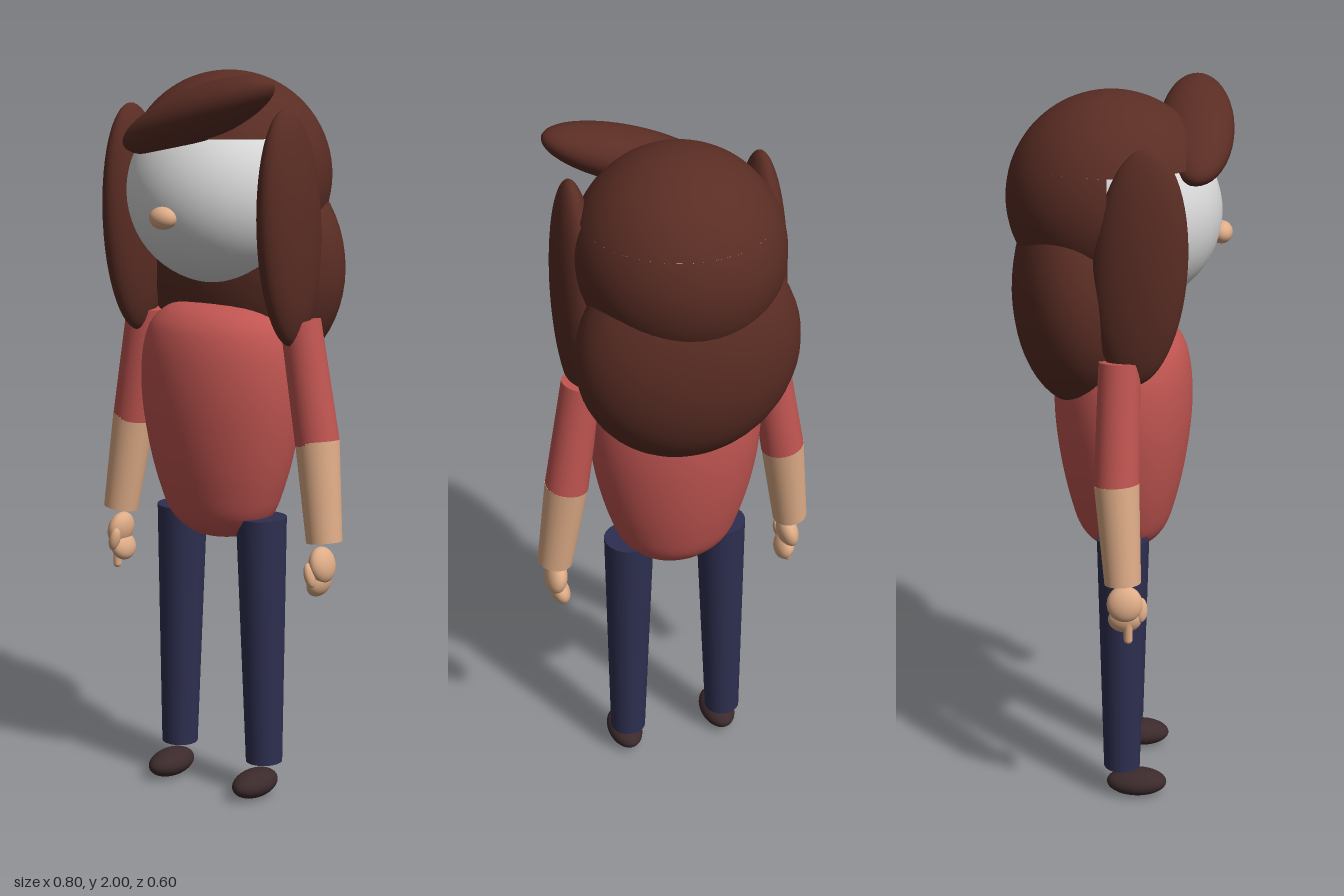
import * as THREE from 'three';

const mat = (name, color, side = THREE.FrontSide) => {
  const m = new THREE.MeshStandardMaterial({ color, side });
  m.name = name;
  return m;
};

export function createModel() {
  const root = new THREE.Group();
  root.name = 'figure';

  const hair = mat('brown hair', 0x5a2d24, THREE.DoubleSide);
  const face = mat('pale face', 0xd8d8d8);
  const skin = mat('skin', 0xdeac87);
  const shirt = mat('red shirt', 0xc05551);
  const jeans = mat('navy trousers', 0x2e2f50);
  const shoe = mat('dark shoes', 0x3c2a2c);

  const add = (name, geometry, material, pos = [0, 0, 0], rot = [0, 0, 0]) => {
    const mesh = new THREE.Mesh(geometry, material);
    mesh.name = name;
    mesh.position.set(...pos);
    mesh.rotation.set(...rot);
    root.add(mesh);
    return mesh;
  };
  const blob = (name, material, pos, radii, rot) =>
    add(name, new THREE.SphereGeometry(1, 40, 28).scale(...radii), material, pos, rot);

  // Tapered limb between two points
  const limb = (name, material, top, bottom, rTop, rBottom) => {
    const a = new THREE.Vector3(...top), b = new THREE.Vector3(...bottom);
    const axis = a.clone().sub(b);
    const mesh = add(name, new THREE.CylinderGeometry(rTop, rBottom, axis.length(), 32), material);
    mesh.position.copy(a).add(b).multiplyScalar(0.5);
    mesh.quaternion.setFromUnitVectors(new THREE.Vector3(0, 1, 0), axis.normalize());
    return mesh;
  };

  // Egg-shaped torso, shallower than wide
  const profile = new THREE.SplineCurve([
    [0, 0.722], [0.085, 0.735], [0.15, 0.785], [0.187, 0.87], [0.217, 0.98], [0.236, 1.1],
    [0.238, 1.2], [0.225, 1.28], [0.195, 1.335], [0.13, 1.372], [0, 1.385],
  ].map(([x, y]) => new THREE.Vector2(x, y))).getPoints(50);
  profile[0].x = profile[profile.length - 1].x = 0;
  add('torso', new THREE.LatheGeometry(profile, 48).scale(1, 1, 0.79), shirt, [0, 0, 0.013]);

  // Head and nose
  blob('face', face, [0, 1.68, 0.025], [0.25, 0.25, 0.25]);
  blob('nose', skin, [0, 1.625, 0.273], [0.04, 0.03, 0.03]);

  // Hair: dome cut level above the face, rear shell, and long back volume
  const cut = Math.acos(0.11 / 0.28);
  add('hairDome', new THREE.SphereGeometry(0.28, 48, 20, 0, Math.PI * 2, 0, cut), hair, [0, 1.72, -0.02]);
  add('hairRim', new THREE.RingGeometry(0.18, 0.2575, 48), hair, [0, 1.83, -0.02], [Math.PI / 2, 0, 0]);
  add('hairRear', new THREE.SphereGeometry(0.28, 32, 24, Math.PI, Math.PI, cut, Math.PI - cut),
    hair, [0, 1.72, -0.02]);
  blob('backHair', hair, [0, 1.47, -0.1], [0.305, 0.32, 0.187]);
  blob('fringe', hair, [0.06, 1.89, 0.203], [0.25, 0.07, 0.1], [0, 0, 0.35]);

  for (const s of [-1, 1]) {
    const side = s > 0 ? 'left' : 'right';

    blob(side + 'HairLock', hair, [s * 0.257, 1.595, 0.065], [0.06, 0.315, 0.122], [0.06, 0, 0]);

    // Sleeve and bare forearm with a red cuff end
    limb(side + 'Sleeve', shirt, [s * 0.26, 1.345, 0.013], [s * 0.313, 1.02, 0.007], 0.055, 0.06);
    limb(side + 'Forearm', [skin, skin, shirt], [s * 0.313, 1.025, 0.007], [s * 0.35, 0.755, 0.025], 0.06, 0.049);

    // Curled hand; only the right one points a finger down
    blob(side + 'Palm', skin, [s * 0.347, 0.692, 0.03], [0.03, 0.05, 0.048], [0, 0, s * 0.2]);
    blob(side + 'Fingers', skin, [s * 0.338, 0.642, 0.03], [0.027, 0.04, 0.045], [0, 0, -s * 0.3]);
    blob(side + 'Thumb', skin, [s * 0.336, 0.67, 0.073], [0.015, 0.034, 0.018], [0, 0, s * 0.25]);
    if (s < 0) {
      add('rightPointingFinger', new THREE.CapsuleGeometry(0.012, 0.06, 6, 16), skin, [-0.353, 0.62, 0.04]);
    }

    // Trouser leg and shoe
    limb(side + 'Leg', jeans, [s * 0.136, 0.793, 0.015], [s * 0.148, 0.092, 0.015], 0.07, 0.051);
    blob(side + 'Shoe', shoe, [s * 0.147, 0.038, 0.057], [0.05, 0.038, 0.085]);
  }

  return root;
}
